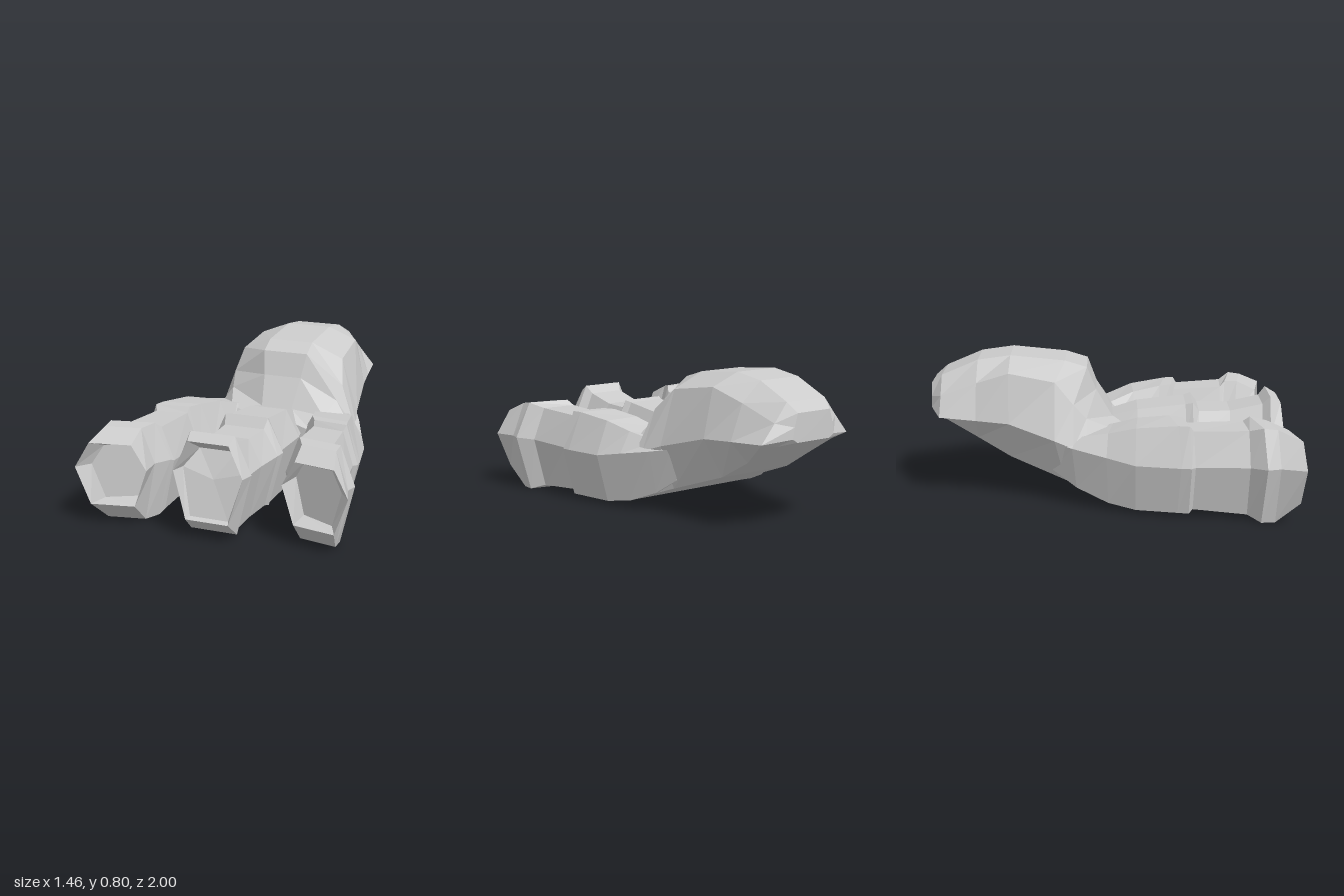
import * as THREE from 'three';

const material = new THREE.MeshStandardMaterial({ color: 0xcccccc, flatShading: true });

// Skin a list of rings running towards +z, each counter-clockwise seen from +z
function loft(name, rings) {
  const pos = [];
  const n = rings[0].length;
  const tri = (a, b, c) => pos.push(...a, ...b, ...c);
  for (let i = 0; i < rings.length - 1; i++) {
    for (let j = 0; j < n; j++) {
      const k = (j + 1) % n;
      const [a, b, c, d] = [rings[i][j], rings[i][k], rings[i + 1][k], rings[i + 1][j]];
      tri(a, b, d);
      tri(b, c, d);
    }
  }
  const cap = (ring, front) => {
    const m = [0, 1, 2].map(q => ring.reduce((s, p) => s + p[q], 0) / n);
    ring.forEach((p, j) => {
      const next = ring[(j + 1) % n];
      front ? tri(m, p, next) : tri(m, next, p);
    });
  };
  cap(rings[0], false);
  cap(rings[rings.length - 1], true);
  const geometry = new THREE.BufferGeometry();
  geometry.setAttribute('position', new THREE.Float32BufferAttribute(pos, 3));
  geometry.computeVertexNormals();
  const mesh = new THREE.Mesh(geometry, material);
  mesh.name = name;
  return mesh;
}

// Hexagonal toe section between two side points; lean slides the top back
function toeRing([x0, z0, x1, z1, top, mid, bottom, lean = 0]) {
  const at = (t, y, dz) => [x0 + (x1 - x0) * t, y, z0 + (z1 - z0) * t + dz];
  return [
    at(0.18, bottom, lean), at(0.8, bottom, lean), at(1, mid, 0),
    at(0.79, top, -lean), at(0.2, top, -lean), at(0, mid, 0),
  ];
}

// Ankle section: half-width and height at bottom, flank, shoulder and top;
// sweep slides the right flank and shoulder back
function bodyRing([z, bw, by, mw, my, uw, uy, tw, ty, sweep = 0]) {
  const cx = z < -0.2 ? -0.022 : -0.01;
  const half = [[bw, by, 0], [mw, my, sweep], [uw, uy, sweep], [tw, ty, 0]];
  return [
    ...half.map(([w, y]) => [cx + w, y, z]),
    ...half.slice().reverse().map(([w, y, s]) => [cx - w, y, z - s]),
  ];
}

export function createModel() {
  const group = new THREE.Group();
  group.name = 'foot';

  // Ankle and instep, from the rounded heel end to the toe webbing
  group.add(loft('ankle', [
    [-1.0, 0.11, 0.49, 0.14, 0.51, 0.13, 0.57, 0.11, 0.64],
    [-0.94, 0.19, 0.47, 0.295, 0.49, 0.21, 0.59, 0.13, 0.69],
    [-0.74, 0.21, 0.355, 0.325, 0.48, 0.25, 0.67, 0.13, 0.775],
    [-0.56, 0.23, 0.25, 0.355, 0.47, 0.295, 0.735, 0.13, 0.80],
    [-0.26, 0.32, 0.145, 0.41, 0.39, 0.315, 0.69, 0.13, 0.77, 0.05],
    [-0.14, 0.36, 0.10, 0.43, 0.35, 0.345, 0.57, 0.13, 0.73, 0.07],
    [-0.09, 0.38, 0.08, 0.44, 0.34, 0.33, 0.49, 0.11, 0.60, 0.05],
    [0.0, 0.39, 0.045, 0.47, 0.32, 0.28, 0.42, 0.09, 0.44],
    [0.08, 0.38, 0.03, 0.46, 0.29, 0.24, 0.35, 0.08, 0.40],
  ].map(bodyRing)));

  // Middle toe; the last two sections form the hollow claw socket
  const middle = [
    [0.00, 0.15, 0.44, 0.33, 0.05],
    [0.14, 0.18, 0.48, 0.33, 0.03],
    [0.41, 0.185, 0.51, 0.34, 0.03],
    [0.45, 0.207, 0.52, 0.34, 0.03],
    [0.485, 0.19, 0.47, 0.33, 0.04],
    [0.66, 0.17, 0.47, 0.33, 0.04],
    [0.84, 0.175, 0.51, 0.34, 0.04],
    [0.88, 0.207, 0.555, 0.36, 0.03],
    [0.955, 0.19, 0.52, 0.36, 0.11, 0.015],
    [0.88, 0.17, 0.45, 0.36, 0.12, 0.06],
  ];
  group.add(loft('middleToe', middle.map(([z, w, ...rest]) => toeRing([-w, z, w, z, ...rest]))));

  // Outer toe: inner x, z, outer x, z, then heights of top, side and bottom
  const outer = [
    [0.10, -0.22, 0.36, -0.32, 0.40, 0.38, 0.20],
    [0.12, -0.10, 0.42, -0.20, 0.40, 0.355, 0.115],
    [0.16, 0.01, 0.49, -0.03, 0.44, 0.325, 0.05],
    [0.20, 0.13, 0.55, 0.11, 0.485, 0.30, 0.03],
    [0.24, 0.27, 0.595, 0.33, 0.51, 0.30, 0.03],
    [0.28, 0.34, 0.60, 0.38, 0.51, 0.30, 0.03],
    [0.29, 0.36, 0.58, 0.40, 0.48, 0.30, 0.05],
    [0.295, 0.64, 0.625, 0.66, 0.49, 0.31, 0.03],
    [0.305, 0.66, 0.70, 0.735, 0.52, 0.32, 0.005],
    [0.36, 0.74, 0.685, 0.80, 0.51, 0.32, 0.005],
    [0.355, 0.85, 0.725, 0.92, 0.455, 0.32, 0.12],
    [0.38, 0.71, 0.67, 0.85, 0.42, 0.32, 0.13],
  ].map(toeRing);
  group.add(loft('leftToe', outer));

  // The opposite toe is mirrored, slightly longer and set wider at its root
  const splay = z => 0.025 * THREE.MathUtils.clamp((0.85 - z) * 3, 0, 1);
  group.add(loft('rightToe', outer.map(ring =>
    ring.map(([x, y, z]) => [-x * 1.015 - splay(z), y, z * 1.085]).reverse())));

  return group;
}
